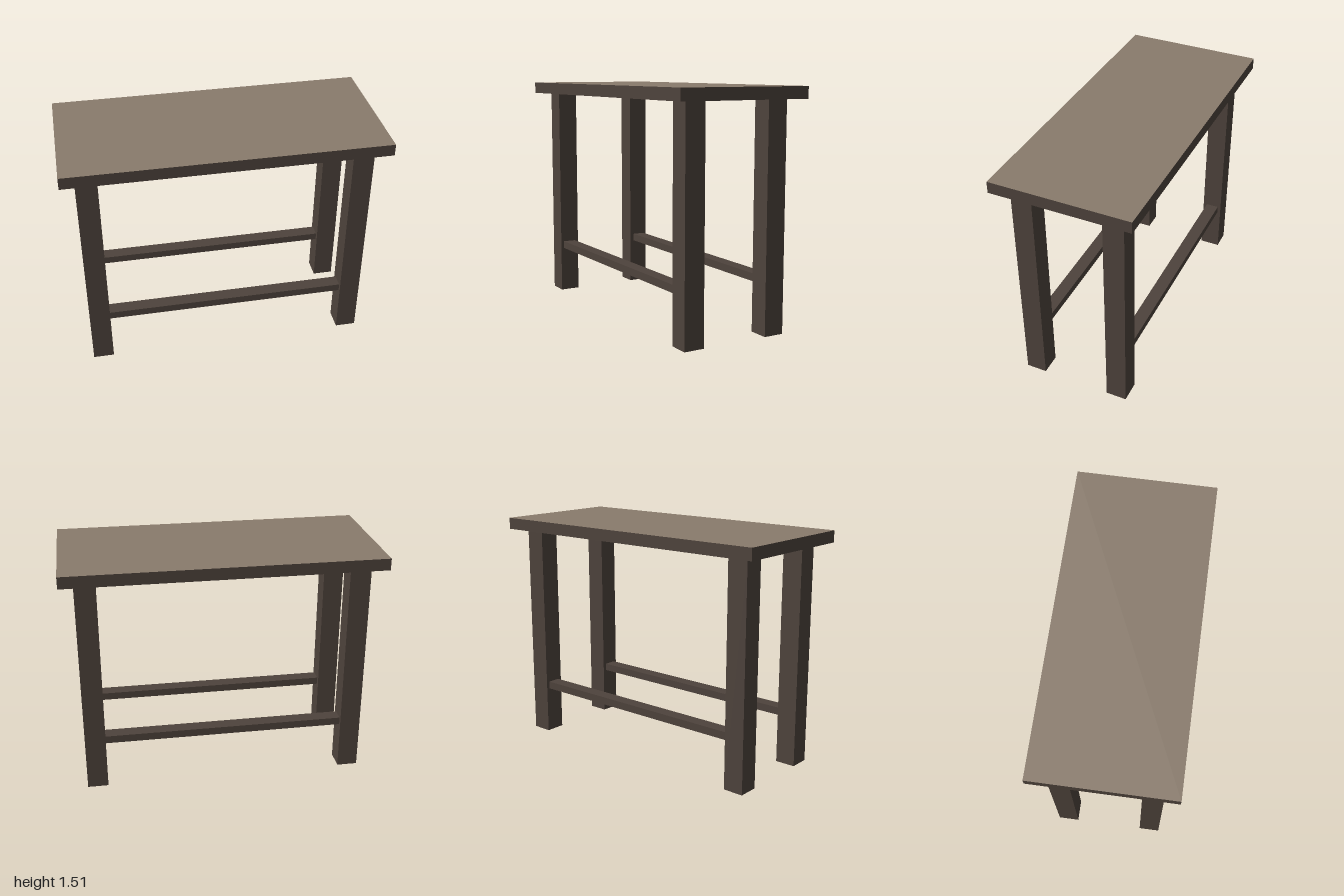
import * as THREE from 'three';

const darkWood = new THREE.MeshStandardMaterial({ color: 0x4e433c });
darkWood.name = 'dark wood';
const lightWood = new THREE.MeshStandardMaterial({ color: 0x897b6c });
lightWood.name = 'light wood';

export function createModel() {
  const table = new THREE.Group();
  table.name = 'table';

  // Box placed by its centre x and z and by its bottom height
  const addBox = (name, [w, h, d], [x, bottom, z], material = darkWood) => {
    const mesh = new THREE.Mesh(new THREE.BoxGeometry(w, h, d), material);
    mesh.name = name;
    mesh.position.set(x, bottom + h / 2, z);
    table.add(mesh);
  };

  // Table top: dark slab whose upper face is light (box group 2 is +y)
  const slabFaces = [darkWood, darkWood, lightWood, darkWood, darkWood, darkWood];
  addBox('tableTop', [2, 0.075, 0.886], [0, 1.437, 0], slabFaces);

  for (const [depthName, sz] of [['front', 1], ['back', -1]]) {
    // Square legs at both ends
    for (const [sideName, sx] of [['Left', 1], ['Right', -1]]) {
      addBox(`${depthName}${sideName}Leg`, [0.133, 1.437, 0.133], [sx * 0.845, 0, sz * 0.288]);
    }
    // Long stretcher between the legs
    addBox(`${depthName}Stretcher`, [1.557, 0.05, 0.086], [0, 0.31, sz * 0.29]);
  }

  return table;
}
